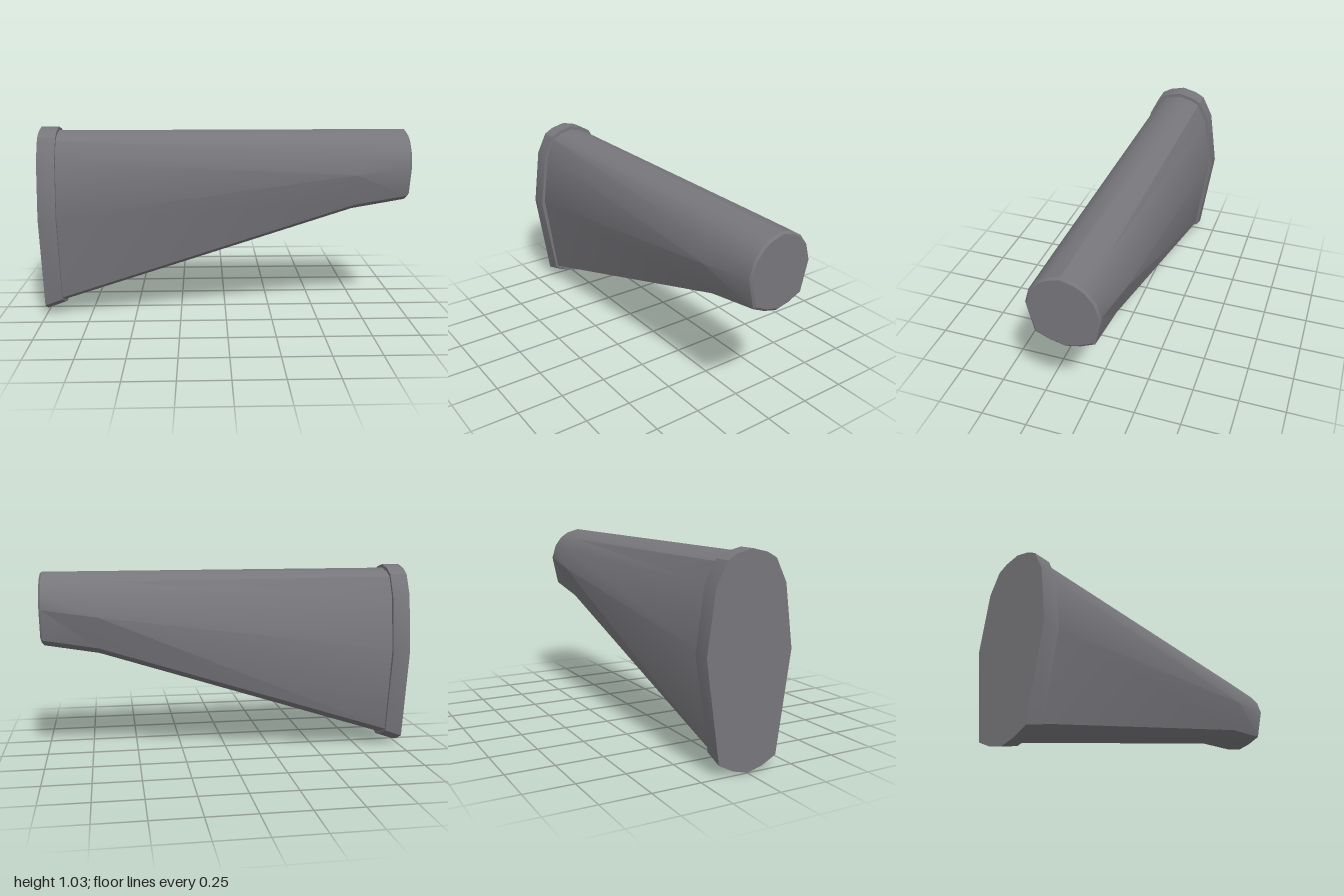
import * as THREE from 'three';
import { toCreasedNormals } from 'three/addons/utils/BufferGeometryUtils.js';

// Lofts a closed solid along x. Each section is { x, half }, where half lists
// [halfWidth, y] from the bottom centre up to the top centre.
function loft(sections) {
  const rings = sections.map(({ x, half }) => [
    ...half.map(([w, y]) => [x, y, -w]),
    ...half.slice(1, -1).reverse().map(([w, y]) => [x, y, w]),
  ]);
  const n = rings[0].length;
  const index = [];
  for (let s = 0; s < rings.length - 1; s++) {
    for (let i = 0; i < n; i++) {
      const j = (i + 1) % n;
      const a = s * n + i, b = s * n + j, c = b + n, d = a + n;
      index.push(a, b, c, a, c, d);
    }
  }
  // flat end caps
  const last = (rings.length - 1) * n;
  for (let i = 1; i < n - 1; i++) {
    index.push(0, i + 1, i);
    index.push(last, last + i, last + i + 1);
  }
  const geometry = new THREE.BufferGeometry();
  geometry.setAttribute('position', new THREE.Float32BufferAttribute(rings.flat(2), 3));
  geometry.setIndex(index);
  return toCreasedNormals(geometry, THREE.MathUtils.degToRad(30));
}

export function createModel() {
  const group = new THREE.Group();
  group.name = 'taperedGrip';
  const grey = new THREE.MeshStandardMaterial({ color: 0x77767b });
  grey.name = 'grey';

  const add = (name, sections) => {
    const mesh = new THREE.Mesh(loft(sections), grey);
    mesh.name = name;
    group.add(mesh);
  };

  // Flange around the tall end, its underside following the taper
  const flange = (x, bottom) => ({
    x,
    half: [[0, bottom], [0.08, bottom + 0.022], [0.157, bottom + 0.062], [0.23, 0.565],
      [0.187, 0.875], [0.13, 0.988], [0.08, 1.016], [0, 1.035]],
  });
  add('endFlange', [flange(-1, 0), flange(-0.905, 0.034)]);

  // Tapered body: flat top, rising underside, bevelled narrow tip
  add('taperedBody', [
    { x: -0.95, half: [[0, 0.036], [0.075, 0.056], [0.145, 0.089], [0.211, 0.57],
      [0.17, 0.868], [0.12, 0.974], [0.072, 0.999], [0, 1.015]] },
    { x: 0.7, half: [[0, 0.567], [0.075, 0.585], [0.145, 0.618], [0.2, 0.79],
      [0.168, 0.895], [0.118, 0.968], [0.07, 0.996], [0, 1.015]] },
    { x: 0.99, half: [[0, 0.617], [0.075, 0.635], [0.146, 0.668], [0.181, 0.832],
      [0.158, 0.91], [0.115, 0.966], [0.07, 0.995], [0, 1.015]] },
    { x: 1, half: [[0, 0.63], [0.07, 0.647], [0.137, 0.68], [0.172, 0.832],
      [0.15, 0.906], [0.108, 0.958], [0.065, 0.985], [0, 1.003]] },
  ]);

  return group;
}
